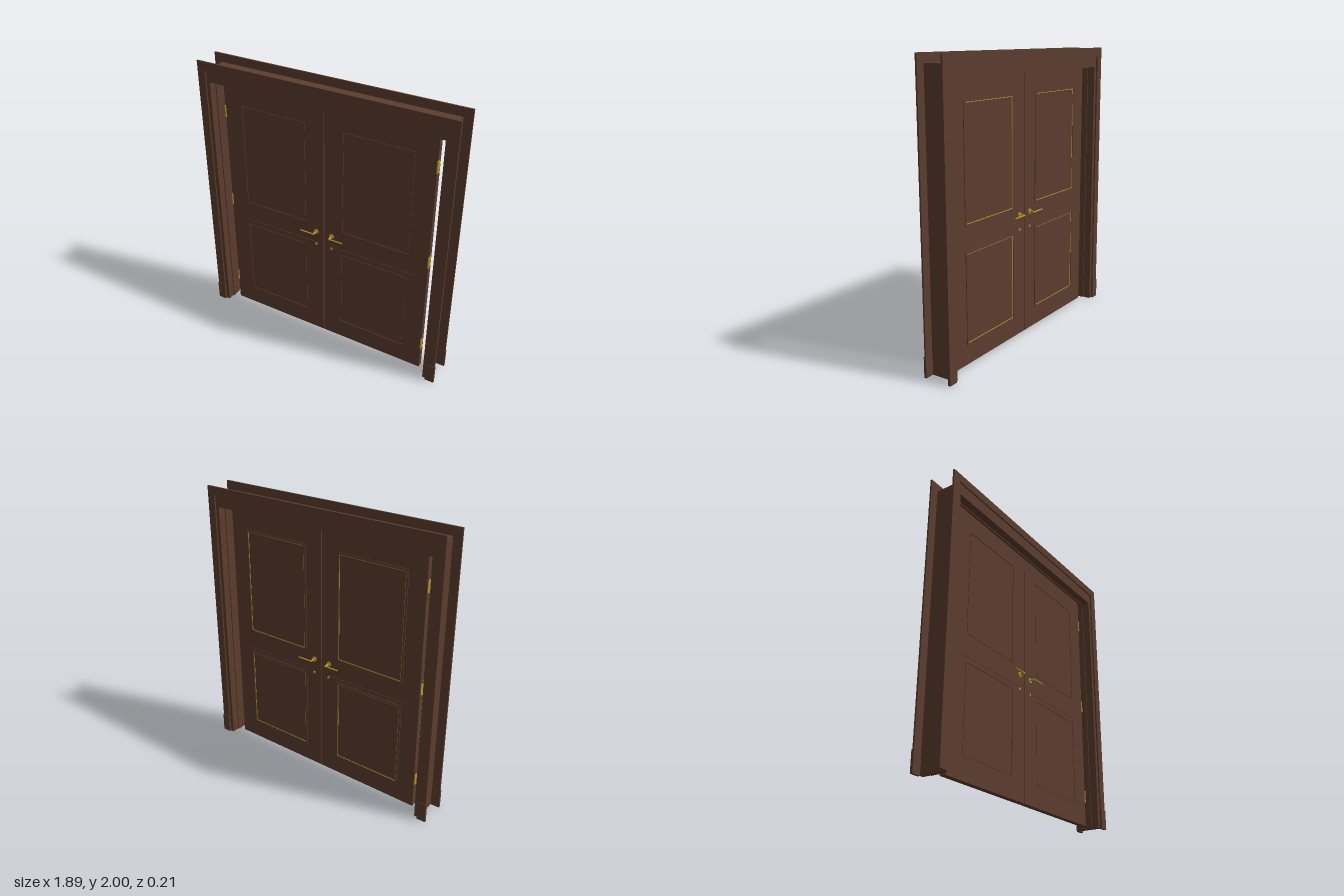
import * as THREE from 'three';

const wood = new THREE.MeshStandardMaterial({ color: 0x5c3d2e });
const brass = new THREE.MeshStandardMaterial({ color: 0xb8952a });

function add(parent, name, geometry, material, x = 0, y = 0, z = 0) {
  const mesh = new THREE.Mesh(geometry, material);
  mesh.name = name;
  mesh.position.set(x, y, z);
  parent.add(mesh);
  return mesh;
}

const box = (w, h, d) => new THREE.BoxGeometry(w, h, d);

// Upside-down U around the opening, from inner to outer edge, centred in depth
function archGeometry(inX, inY, outX, outY, depth) {
  const shape = new THREE.Shape([
    [-outX, 0], [-inX, 0], [-inX, inY], [inX, inY],
    [inX, 0], [outX, 0], [outX, outY], [-outX, outY],
  ].map(([x, y]) => new THREE.Vector2(x, y)));
  return new THREE.ExtrudeGeometry(shape, { depth, bevelEnabled: false }).translate(0, 0, -depth / 2);
}

function rectPoints(x0, x1, y0, y1) {
  return [[x0, y0], [x1, y0], [x1, y1], [x0, y1]].map(([x, y]) => new THREE.Vector2(x, y));
}

// Flat plate with rectangular openings, starting at z = 0
function plateGeometry(outer, openings, depth) {
  const shape = new THREE.Shape(rectPoints(...outer));
  openings.forEach((o) => shape.holes.push(new THREE.Path(rectPoints(...o))));
  return new THREE.ExtrudeGeometry(shape, { depth, bevelEnabled: false });
}

const grow = ([a, b, c, d], m) => [a - m, b + m, c - m, d + m];

const PANELS = [[0.145, 0.65, 0.155, 0.755], [0.145, 0.65, 0.945, 1.705]];
const FACE = 0.02; // half of the leaf thickness

// Lever, rose and lock for one face, built facing +z
function handleSet() {
  const set = new THREE.Group();
  set.name = 'handleSet';
  const disc = (r, d) => new THREE.CylinderGeometry(r, r, d, 24).rotateX(Math.PI / 2);
  add(set, 'rose', disc(0.018, 0.008), brass, 0.063, 0.885, 0.004);
  add(set, 'spindle', disc(0.007, 0.045), brass, 0.063, 0.885, 0.0225);
  add(set, 'lever', new THREE.CapsuleGeometry(0.005, 0.1, 4, 12).rotateZ(Math.PI / 2), brass, 0.117, 0.885, 0.042);
  add(set, 'lockCover', disc(0.009, 0.006), brass, 0.063, 0.78, 0.003);
  return set;
}

// One leaf on the +x side; side = -1 mirrors it
function doorLeaf(side) {
  const leaf = new THREE.Group();
  leaf.name = side > 0 ? 'leftLeaf' : 'rightLeaf';
  const outer = [0.003, 0.793, 0.01, 1.848];
  const skin = 0.005;

  add(leaf, 'core', plateGeometry(outer, [], 2 * (FACE - skin)), wood, 0, 0, -FACE + skin);
  add(leaf, 'frontRails', plateGeometry(outer, PANELS, skin), wood, 0, 0, FACE - skin);
  add(leaf, 'backRails', plateGeometry(outer, PANELS, skin), wood, 0, 0, -FACE);

  PANELS.forEach((p) => {
    // Raised fields, with a narrow groove left around each
    for (const z of [FACE - skin, -FACE + 0.001]) {
      add(leaf, 'panelField', plateGeometry(grow(p, -0.005), [], skin - 0.001), wood, 0, 0, z);
    }
    // Moulding and fine inlay on the back
    add(leaf, 'backMoulding', plateGeometry(grow(p, 0.014), [p], 0.005), wood, 0, 0, -FACE - 0.005);
    add(leaf, 'backInlay', plateGeometry(p, [grow(p, -0.005)], 0.002), brass, 0, 0, -FACE - 0.001);
  });

  for (const z of [1, -1]) {
    add(leaf, 'middleBead', box(0.64, 0.005, 0.004), wood, 0.375, 0.795, z * (FACE + 0.001));
  }

  const front = handleSet();
  front.position.z = FACE;
  const back = handleSet();
  back.position.z = -FACE;
  back.scale.z = -1;
  leaf.add(front, back);

  for (const y of [0.225, 0.93, 1.635]) {
    add(leaf, 'hingePin', new THREE.CylinderGeometry(0.006, 0.006, 0.085, 12), brass, 0.793, y, FACE);
    add(leaf, 'hingePlate', box(0.003, 0.085, 0.03), brass, 0.794, y, 0.005);
  }

  leaf.scale.x = side;
  return leaf;
}

export function createModel() {
  const model = new THREE.Group();
  model.name = 'doubleDoor';

  // Lining of the opening and its slim stop
  add(model, 'jamb', archGeometry(0.853, 1.857, 0.88, 1.94, 0.18), wood);
  add(model, 'doorStop', archGeometry(0.846, 1.849, 0.854, 1.858, 0.07), wood);

  // Casings and plinth blocks on both faces
  for (const z of [1, -1]) {
    add(model, z > 0 ? 'frontCasing' : 'backCasing',
      archGeometry(0.88, 1.94, 0.94, 2, 0.012), wood, 0, 0, z * 0.095);
    for (const x of [1, -1]) {
      add(model, 'plinthBlock', box(0.064, 0.14, 0.018), wood, x * 0.911, 0.07, z * 0.096);
    }
  }

  model.add(doorLeaf(1), doorLeaf(-1));
  return model;
}
